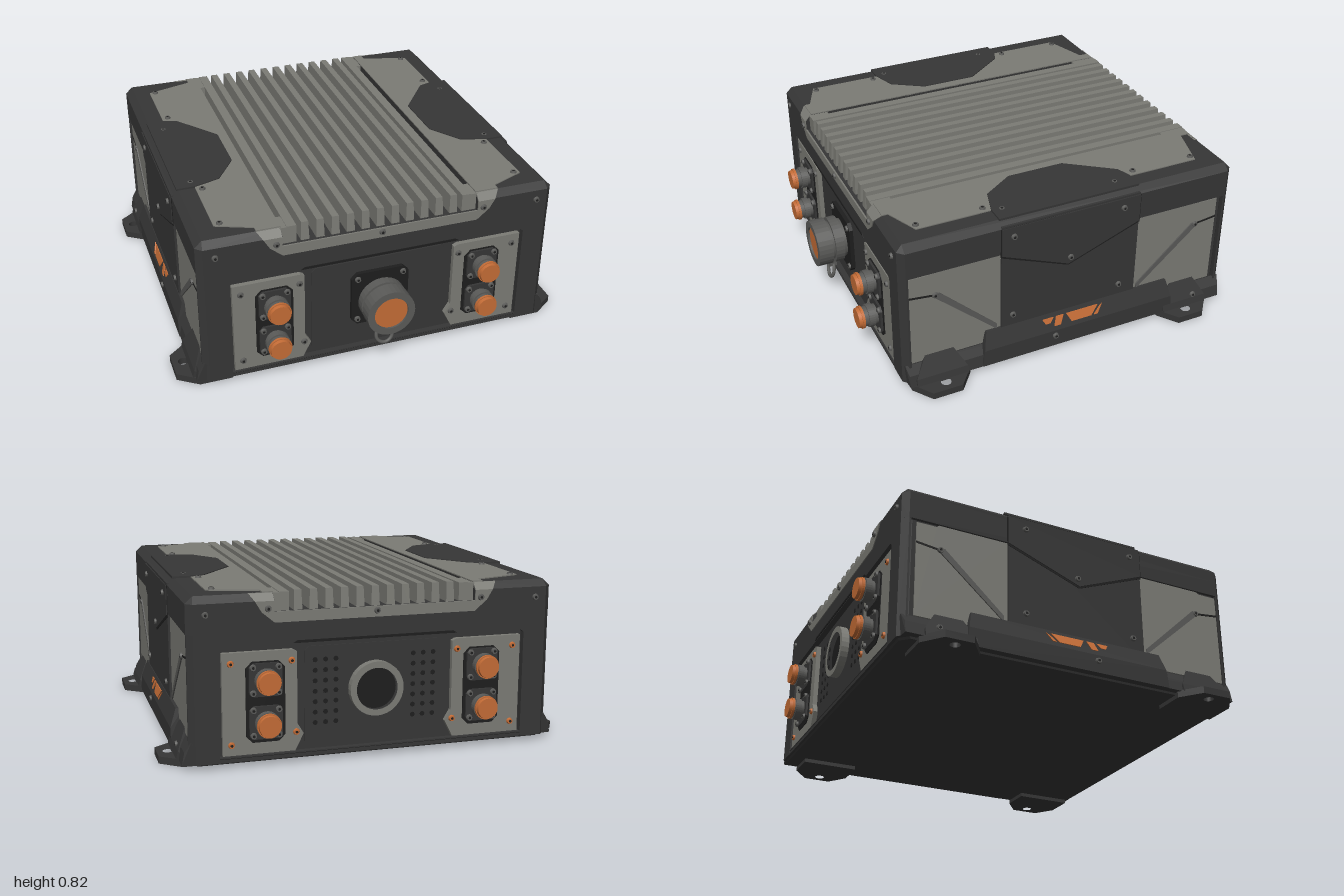
import * as THREE from 'three';
import { ConvexGeometry } from 'three/addons/geometries/ConvexGeometry.js';

const material = (name, color) => new THREE.MeshStandardMaterial({ name, color });

export function createModel() {
  const dark = material('charcoal', 0x363636);
  const black = material('black', 0x1e1e1e);
  const grey = material('panel grey', 0x7b7b75);
  const steel = material('steel', 0x5a5a58);
  const orange = material('orange', 0xc46c36);
  const model = new THREE.Group();
  model.name = 'ruggedUnit';

  const add = (name, geometry, mat) => {
    const mesh = new THREE.Mesh(geometry, mat);
    mesh.name = name;
    model.add(mesh);
    return mesh;
  };
  const hull = (name, mat, pts) =>
    add(name, new ConvexGeometry(pts.map(p => new THREE.Vector3(...p))), mat);
  const block = (name, mat, x0, x1, y0, y1, z0, z1) =>
    add(name, new THREE.BoxGeometry(Math.abs(x1 - x0), y1 - y0, z1 - z0)
      .translate((x0 + x1) / 2, (y0 + y1) / 2, (z0 + z1) / 2), mat);
  // Stack of octagonal sections: [y, half width, back z, front z, corner cut]
  const octagons = (name, mat, rings) => hull(name, mat, rings.flatMap(([y, x, z0, z1, c]) =>
    [-1, 1].flatMap(s => [[s * x, y, z0 + c], [s * (x - c), y, z0], [s * x, y, z1 - c], [s * (x - c), y, z1]])));

  // Each face turns a flat shape outward; u, v are world coordinates on that face
  const faces = {
    front: { ry: 0, uv: (x, y) => [x, y] },
    back: { ry: Math.PI, uv: (x, y) => [-x, y] },
    left: { ry: Math.PI / 2, uv: (z, y) => [-z, y] },
    right: { ry: -Math.PI / 2, uv: (z, y) => [z, y] },
    top: { rx: -Math.PI / 2, uv: (x, z) => [x, -z] },
  };
  const place = (name, mat, geometry, face, offset) => {
    geometry.translate(0, 0, offset);
    geometry.rotateX(faces[face].rx || 0).rotateY(faces[face].ry || 0);
    return add(name, geometry, mat);
  };
  const plate = (name, mat, face, offset, depth, pts, hole) => {
    const uv = faces[face].uv;
    const shape = new THREE.Shape(pts.map(p => new THREE.Vector2(...uv(...p))));
    if (hole) shape.holes.push(new THREE.Path().absarc(...uv(hole[0], hole[1]), hole[2], 0, Math.PI * 2, true));
    return place(name, mat, new THREE.ExtrudeGeometry(shape, { depth, bevelEnabled: false, curveSegments: 20 }), face, offset);
  };
  const cutRect = (u, v, w, h, c) => [[u - w + c, v - h], [u + w - c, v - h], [u + w, v - h + c], [u + w, v + h - c],
    [u + w - c, v + h], [u - w + c, v + h], [u - w, v + h - c], [u - w, v - h + c]];
  const rod = (name, mat, face, u, v, offset, r0, r1, h, sides = 24) => {
    const [a, b] = faces[face].uv(u, v);
    return place(name, mat, new THREE.CylinderGeometry(r1, r0, h, sides).rotateX(Math.PI / 2).translate(a, b, h / 2), face, offset);
  };
  const ring = (name, mat, face, u, v, offset, r, inner, h) => {
    const circle = Array.from({ length: 32 }, (_, i) =>
      [u + r * Math.cos(i * Math.PI / 16), v + r * Math.sin(i * Math.PI / 16)]);
    plate(name, mat, face, offset, h, circle, [u, v, inner]);
  };
  const bolts = (face, offset, list, mat = steel) => list.forEach(([u, v]) => {
    rod('bolt', mat, face, u, v, offset, 0.016, 0.013, 0.01, 12);
    rod('boltSocket', black, face, u, v, offset + 0.01, 0.007, 0.007, 0.001, 6);
  });

  const zb = -0.91, zf = 0.85;

  // Main case
  octagons('caseCore', dark, [[0.03, 0.87, -0.88, 0.82, 0.02], [0.69, 0.87, -0.88, 0.82, 0.02]]);
  octagons('bottomPlate', dark, [[0.02, 0.88, zb + 0.02, zf - 0.02, 0.04], [0.05, 0.89, zb, zf, 0.04]]);
  octagons('upperBand', dark, [[0.63, 0.885, zb, zf, 0.03], [0.715, 0.885, zb, zf, 0.03]]);

  // Cooling fins in the open channel
  for (let i = -5; i <= 5; i++) {
    const x = i * 0.074, w = 0.021, t = 0.017;
    hull('coolingFin', grey, [zb + 0.02, zf - 0.02].flatMap(z =>
      [[x - w, 0.7, z], [x + w, 0.7, z], [x - t, 0.81, z * 0.99], [x + t, 0.81, z * 0.99]]));
  }

  for (const s of [-1, 1]) {
    const side = s > 0 ? 'left' : 'right';
    const mx = pts => pts.map(([x, v]) => [s * x, v]);

    // Shoulder and its top panels
    hull('shoulder', dark, [
      ...[zb, zf].flatMap(z => [[0.485, 0.71, z], [0.855, 0.71, z], [0.485, 0.77, z], [0.855, 0.77, z]]),
      ...[zb + 0.03, zf - 0.03].flatMap(z => [[0.885, 0.71, z], [0.885, 0.77, z], [0.485, 0.803, z], [0.85, 0.803, z]]),
    ].map(([x, y, z]) => [s * x, y, z]));
    plate('topPanel', grey, 'top', 0.801, 0.007, mx([[0.485, zb + 0.03], [0.535, zb + 0.03], [0.535, -0.83],
      [0.77, -0.76], [0.77, 0.72], [0.6, 0.79], [0.6, zf - 0.03], [0.485, zf - 0.03]]));
    plate('topCover', dark, 'top', 0.801, 0.011, mx([[0.86, -0.385], [0.77, -0.385], [0.7, -0.36], [0.535, -0.14], [0.535, 0.15],
      [0.64, 0.31], [0.77, 0.35], [0.86, 0.35]]));
    block('channelRail', grey, s * 0.412, s * 0.458, 0.7, 0.805, zb + 0.02, zf - 0.02);
    for (const [z0, z1] of [[zb + 0.02, -0.75], [0.73, zf - 0.02]])
      block('railEnd', grey, s * 0.45, s * 0.49, 0.7, 0.802, z0, z1);
    bolts('top', 0.807, mx([[0.74, -0.75], [0.74, -0.42], [0.74, 0.38], [0.74, 0.71]]));
    bolts('top', 0.803, mx([[0.79, -0.29], [0.78, 0.3]]));

    // Side panels with diagonal ribs
    for (const [inner, outer, by] of [[0.35, 0.81, 0.68], [-0.38, -0.84, -0.72]]) {
      const d = Math.sign(outer);
      plate('sidePanel', grey, side, 0.866, 0.01, [[inner, 0.14], [outer, 0.14], [outer, 0.62], [outer - d * 0.1, 0.62],
        [outer - d * 0.12, 0.64], [inner, 0.64]]);
      plate('sideRib', steel, side, 0.87, 0.012, [[by, 0.51], [by - d * 0.02, 0.51], [inner + d * 0.02, 0.235], [inner + d * 0.02, 0.205], [by, 0.485]]);
      plate('sideGroove', black, side, 0.87, 0.008, [[outer, 0.52], [by, 0.505], [by, 0.495], [outer, 0.51]]);
      bolts(side, 0.876, [[by, 0.5]]);
    }

    // Central side cover with a pointed flap
    plate('sideCover', dark, side, 0.86, 0.027, [[0.35, 0.15], [0.35, 0.78], [-0.38, 0.78], [-0.38, 0.15]]);
    plate('coverSeam', black, side, 0.886, 0.003, [[0.355, 0.77], [0.355, 0.615], [0, 0.473], [-0.385, 0.615], [-0.385, 0.77]]);
    plate('coverFlap', dark, side, 0.886, 0.007, [[0.35, 0.77], [0.35, 0.625], [0, 0.483], [-0.38, 0.625], [-0.38, 0.77]]);
    bolts(side, 0.887, [[0.29, 0.27], [-0.29, 0.27]]);
    bolts(side, 0.893, [[0.29, 0.72], [-0.29, 0.72], [-0.01, 0.52]]);

    // Flared lower skirt, raised in the middle
    hull('lowerSkirt', dark, [[0.8, zb + 0.01, zf - 0.01], [0.917, zb + 0.02, zf - 0.02]].flatMap(([x, z0, z1]) =>
      [z0, z1].flatMap(z => [[s * x, 0.03, z], [s * (x > 0.9 ? 0.905 : x), 0.09, z], [s * 0.875, 0.135, z]])));
    hull('raisedSkirt', dark, [[0.85, 0.03, -0.6, 0.46], [0.92, 0.03, -0.6, 0.46], [0.92, 0.12, -0.59, 0.45],
      [0.89, 0.21, -0.57, 0.43], [0.85, 0.21, -0.57, 0.43]].flatMap(([x, y, a, b]) => [[s * x, y, a], [s * x, y, b]]));
    bolts(side, 0.92, [[0.07, 0.09]]);
    bolts(side, 0.912, [[-0.73, 0.085]]);
    // Slanted vent openings
    const slope = y => 0.92 - (y - 0.12) / 3;
    for (const shape of [[[0.135, 0.19], [0.075, 0.19], [0.095, 0.165], [0.12, 0.165]],
      [[0.06, 0.19], [0.02, 0.19], [0.04, 0.145], [0.075, 0.145]],
      [[0.005, 0.19], [-0.17, 0.19], [-0.13, 0.145], [-0.02, 0.145]],
      [[-0.175, 0.175], [-0.195, 0.19], [-0.165, 0.145], [-0.145, 0.145]]])
      hull('sideVent', orange, shape.flatMap(([z, y]) => [[s * (slope(y) + 0.004), y, z], [s * (slope(y) - 0.004), y, z]]));

    // Mounting feet with bolt holes and gussets
    for (const [a, b, h] of [[0.52, 0.82, 0.665], [-0.82, -0.53, -0.67]]) {
      plate('mountingFoot', dark, 'top', 0, 0.035, mx([[0.74, a], [0.9, a], [1, a + 0.08], [1, b - 0.07], [0.9, b], [0.74, b]]), [s * 0.947, h, 0.025]);
      hull('footGusset', dark, [a + 0.02, b - 0.02].flatMap(z => [[s * 0.86, 0.03, z], [s * 0.93, 0.03, z], [s * 0.92, 0.07, z], [s * 0.87, 0.18, (z + h) / 2]]));
    }
  }

  // Everything shared by the front and back ends; d is the outward direction
  for (const [face, d, edge] of [['front', 1, zf], ['back', -1, zb]]) {
    const end = Math.abs(edge), panel = end - 0.03;
    block('channelFloor', dark, -0.5, 0.5, 0.69, 0.718, d > 0 ? -0.1 : zb + 0.004, d > 0 ? zf - 0.004 : -0.1);
    plate('topFrame', dark, face, panel - 0.02, 0.05, [[-0.855, 0.64], [-0.82, 0.54], [-0.76, 0.54], [-0.73, 0.565], [0.73, 0.565], [0.76, 0.54], [0.82, 0.54], [0.855, 0.64]]);
    plate('frameSlot', black, face, end, 0.003, [[-0.4, 0.57], [0.4, 0.57], [0.38, 0.582], [-0.38, 0.582]]);
    plate('bottomFrame', dark, face, panel - 0.02, 0.048, [[-0.75, 0.03], [0.75, 0.03], [0.75, 0.055], [-0.75, 0.055]]);
    plate('finFascia', grey, face, end - 0.004, 0.008, [[-0.485, 0.67], [0.485, 0.67], [0.545, 0.72], [-0.545, 0.72]]);
    plate('centrePanel', dark, face, panel - 0.01, 0.016, cutRect(0, 0.31, 0.34, 0.235, 0.02));
    bolts(face, end + 0.004, [[0, 0.7]]);

    for (const s of [-1, 1]) {
      const mx = pts => pts.map(([x, y]) => [s * x, y]);
      // Corner post
      hull('cornerPost', dark, [[0.745, panel], [0.745, end], [0.855, end], [0.884, end - 0.03], [0.884, panel - 0.01]]
        .flatMap(([x, z]) => [[s * x, 0.03, d * z], [s * x, 0.64, d * z]]));
      // Fascia cheek following the top bevel
      hull('fasciaCheek', grey, [[0.487, 0.72, end], [0.545, 0.72, end], [0.575, 0.77, end], [0.487, 0.77, end],
        [0.6, 0.803, end - 0.03], [0.487, 0.803, end - 0.03]].flatMap(([x, y, z]) => [[s * x, y, d * (z + 0.005)], [s * x, y, d * (z - 0.01)]]));
      bolts(face, end + 0.005, mx([[0.515, 0.735]]));
      bolts(face, end, mx([[0.8, 0.72]]));

      // Connector panel
      plate('connectorPanel', grey, face, panel, 0.024, mx([[0.38, 0.53], [0.4, 0.54], [0.73, 0.54], [0.73, 0.06], [0.39, 0.06],
        [0.35, 0.14], [0.38, 0.19]]));
      bolts(face, panel + 0.024, mx([[0.405, 0.49], [0.69, 0.49], [0.385, 0.15], [0.69, 0.11]]), d > 0 ? steel : orange);
      plate('connectorBay', black, face, panel + 0.024, 0.004, cutRect(s * 0.53, 0.305, 0.092, 0.19, 0.03));
      for (const y of [0.41, 0.21]) {
        const tip = d > 0 ? 0.955 : 1;
        plate('connectorFlange', dark, face, panel + 0.025, 0.014, cutRect(s * 0.53, y, 0.078, 0.078, 0.02));
        bolts(face, panel + 0.039, [-1, 1].flatMap(i => [-1, 1].map(j => [s * 0.53 + i * 0.06, y + j * 0.06])));
        rod('connectorBody', steel, face, s * 0.53, y, panel + 0.03, 0.05, 0.05, tip - panel - 0.04);
        ring('connectorCollar', steel, face, s * 0.53, y, panel + 0.055, 0.058, 0.045, 0.03);
        rod('connectorCap', orange, face, s * 0.53, y, tip - 0.03, 0.054, 0.05, 0.03);
        ring('capRim', orange, face, s * 0.53, y, tip - 0.028, 0.057, 0.048, 0.012);
      }
    }
  }

  // Large round front connector with pull ring
  plate('mainFlange', black, 'front', 0.822, 0.024, cutRect(0, 0.335, 0.145, 0.145, 0.03));
  bolts('front', 0.846, [[-0.115, 0.45], [0.115, 0.45], [-0.115, 0.22], [0.115, 0.22]]);
  rod('mainBarrel', steel, 'front', 0, 0.33, 0.84, 0.1, 0.1, 0.11, 32);
  ring('mainCollar', steel, 'front', 0, 0.33, 0.865, 0.118, 0.09, 0.045);
  ring('mainRim', steel, 'front', 0, 0.33, 0.925, 0.12, 0.085, 0.075);
  rod('mainCap', orange, 'front', 0, 0.33, 0.94, 0.086, 0.086, 0.05, 32);
  const pull = add('pullRing', new THREE.TorusGeometry(0.042, 0.009, 8, 24), steel);
  pull.position.set(0, 0.15, 0.915);
  pull.rotation.x = -0.25;
  block('pullRingTab', steel, -0.025, 0.025, 0.18, 0.225, 0.89, 0.925);

  // Round rear port and vent holes
  ring('rearPortRim', grey, 'back', 0, 0.33, 0.88, 0.13, 0.1, 0.045);
  rod('rearPort', black, 'back', 0, 0.33, 0.88, 0.1, 0.1, 0.02, 32);
  for (const s of [-1, 1]) for (let c = 0; c < 3; c++) for (let r = 0; r < 7; r++)
    rod('rearVentHole', black, 'back', s * (0.19 + c * 0.05), 0.18 + r * 0.05, 0.886, 0.012, 0.012, 0.002, 8);

  return model;
}
